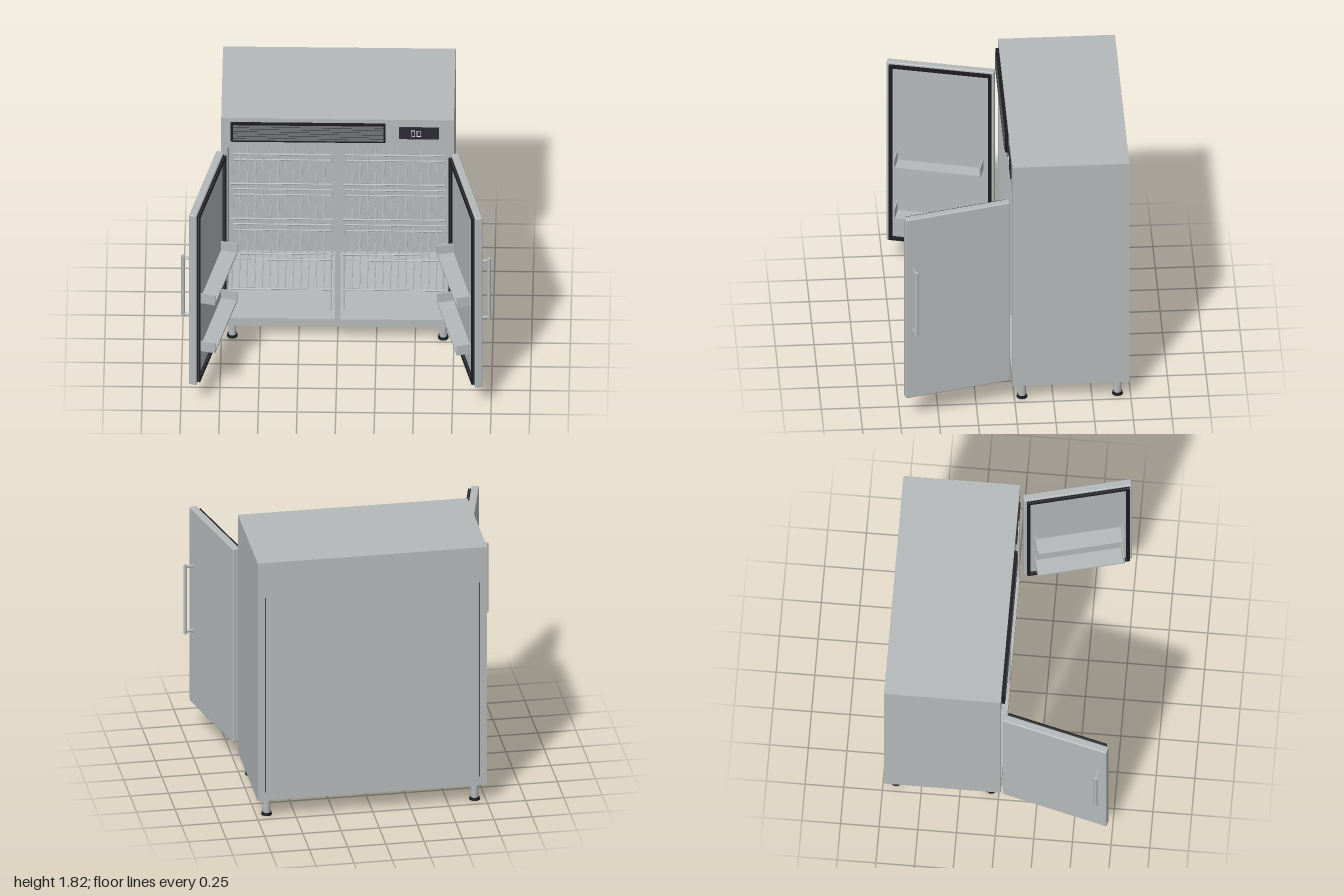
import * as THREE from 'three';
import { RoundedBoxGeometry } from 'three/addons/geometries/RoundedBoxGeometry.js';

const mat = (name, color) => {
  const m = new THREE.MeshStandardMaterial({ color });
  m.name = name;
  return m;
};

export function createModel() {
  const steel = mat('brushed steel', 0xb5b9b9);
  const black = mat('black rubber', 0x1c1c1f);
  const charcoal = mat('charcoal', 0x2b2b33);
  const slat = mat('slat grey', 0x45474b);
  const white = mat('indicator white', 0xe8ecec);

  const model = new THREE.Group();
  model.name = 'twoDoorRefrigerator';

  const group = (name, parent = model) => {
    const g = new THREE.Group();
    g.name = name;
    parent.add(g);
    return g;
  };
  const add = (parent, name, geometry, material, x, y, z) => {
    const m = new THREE.Mesh(geometry, material);
    m.name = name;
    m.position.set(x, y, z);
    parent.add(m);
    return m;
  };
  // Box given by its limits on each axis
  const box = (parent, name, material, x0, x1, y0, y1, z0, z1) =>
    add(parent, name, new THREE.BoxGeometry(Math.abs(x1 - x0), y1 - y0, z1 - z0), material,
      (x0 + x1) / 2, (y0 + y1) / 2, (z0 + z1) / 2);
  // Round rod along one axis
  const rod = (parent, name, r, length, axis, x, y, z, sides = 8) => {
    const m = add(parent, name, new THREE.CylinderGeometry(r, r, length, sides), steel, x, y, z);
    if (axis === 'x') m.rotation.z = Math.PI / 2;
    if (axis === 'z') m.rotation.x = Math.PI / 2;
    return m;
  };
  const rect = (P, x0, x1, y0, y1) => {
    const p = new P();
    p.moveTo(x0, y0);
    p.lineTo(x1, y0);
    p.lineTo(x1, y1);
    p.lineTo(x0, y1);
    p.closePath();
    return p;
  };
  // Rectangular frame extruded along z
  const frame = (w, h, border, depth) => {
    const s = rect(THREE.Shape, -w / 2, w / 2, -h / 2, h / 2);
    s.holes.push(rect(THREE.Path, -w / 2 + border, w / 2 - border, -h / 2 + border, h / 2 - border));
    return new THREE.ExtrudeGeometry(s, { depth, bevelEnabled: false });
  };

  // Cabinet: hollow shell, back wall and centre post
  const cabinet = group('cabinet');
  const outline = rect(THREE.Shape, -0.75, 0.75, 0.13, 1.82);
  outline.holes.push(rect(THREE.Path, -0.71, 0.71, 0.19, 1.58));
  add(cabinet, 'shell', new THREE.ExtrudeGeometry(outline, { depth: 0.715, bevelEnabled: false }), steel, 0, 0, -0.7);
  box(cabinet, 'backWall', steel, -0.75, 0.75, 0.13, 1.82, -0.74, -0.7);
  box(cabinet, 'centrePost', steel, -0.018, 0.018, 0.19, 1.58, -0.03, 0.014);
  for (const s of [-1, 1])
    box(cabinet, 'backSeam', slat, s * 0.7 - 0.004, s * 0.7 + 0.004, 0.19, 1.57, -0.742, -0.739);

  // Feet
  for (const x of [-0.68, 0.68]) for (const z of [-0.05, -0.667]) {
    const leg = group('leg');
    rod(leg, 'legTube', 0.025, 0.125, 'y', x, 0.072, z, 24);
    add(leg, 'legPad', new THREE.CylinderGeometry(0.031, 0.035, 0.018, 24), black, x, 0.009, z);
  }

  // Ventilation grille with tilted slats
  const grille = group('grille');
  box(grille, 'grilleBack', black, -0.69, 0.31, 1.645, 1.79, 0.014, 0.02);
  add(grille, 'grilleFrame', frame(1, 0.145, 0.01, 0.02), black, -0.19, 1.7175, 0.016);
  for (let i = 0; i < 7; i++) {
    const m = box(grille, 'grilleSlat', slat, -0.675, 0.295, -0.003, 0.003, -0.011, 0.011);
    m.position.set(-0.19, 1.664 + i * 0.018, 0.03);
    m.rotation.x = 0.6;
  }

  // Control display with two plain lit indicators
  const display = group('display');
  box(display, 'displayPanel', charcoal, 0.395, 0.655, 1.67, 1.762, 0.014, 0.024);
  for (const x of [0.486, 0.524])
    add(display, 'indicator', frame(0.028, 0.048, 0.004, 0.002), white, x, 1.716, 0.0235);

  // Interior fittings of each half
  for (const s of [-1, 1]) {
    const bay = group(s < 0 ? 'rightBay' : 'leftBay');
    for (const x of [0.042, 0.68]) for (const z of [-0.05, -0.62])
      box(bay, 'shelfPost', steel, s * x - 0.005, s * x + 0.005, 0.22, 1.54, z - 0.005, z + 0.005);
    for (const y of [0.39, 0.677, 0.962, 1.247]) {
      const shelf = group('wireShelf', bay);
      for (const z of [-0.04, -0.35, -0.66]) rod(shelf, 'crossWire', 0.006, 0.655, 'x', s * 0.363, y, z);
      for (let i = 0; i < 14; i++)
        rod(shelf, 'shelfWire', 0.004, 0.62, 'z', s * (0.042 + i * 0.0494), y, -0.35, 6);
    }
    // Ceiling lamp
    box(bay, 'ceilingLamp', steel, s * 0.36 - 0.17, s * 0.36 + 0.17, 1.568, 1.581, -0.3, -0.2);
    // Round fan cover with slits
    const fan = group('fan', bay);
    const cover = add(fan, 'fanCover', new THREE.CylinderGeometry(0.097, 0.097, 0.02, 40), steel, s * 0.36, 1.43, -0.69);
    cover.rotation.x = Math.PI / 2;
    for (let i = 0; i < 9; i++) {
      const dy = (i - 4) * 0.0175, half = Math.sqrt(0.083 ** 2 - dy ** 2);
      box(fan, 'fanSlit', black, s * 0.36 - half, s * 0.36 + half, 1.425 + dy, 1.435 + dy, -0.681, -0.678);
    }
  }

  // Open doors: local z runs from the hinge, s * x points to the inner side
  for (const s of [1, -1]) {
    const door = group(s > 0 ? 'rightDoor' : 'leftDoor');
    door.position.set(-s * 0.78, 0, 0.03);
    door.rotation.y = -s * 0.24;
    add(door, 'doorPanel', new RoundedBoxGeometry(0.05, 1.38, 0.706, 3, 0.009), steel, s * 0.025, 0.88, 0.353);

    // Rubber seal in two layers with a steel strip between
    const seal = (name, material, w, h, border, depth, n) => {
      const m = add(door, name, frame(w, h, border, depth), material, s * n, 0.88, 0.353);
      m.rotation.y = s * Math.PI / 2;
    };
    seal('sealBase', black, 0.67, 1.35, 0.022, 0.008, 0.049);
    seal('sealStrip', slat, 0.66, 1.34, 0.014, 0.005, 0.057);
    seal('sealLip', black, 0.668, 1.348, 0.018, 0.008, 0.062);

    // Door racks: floor, end plates and a low lip
    for (const y of [0.815, 0.425]) {
      const rack = group('doorRack', door);
      box(rack, 'rackFloor', steel, s * 0.05, s * 0.158, y, y + 0.008, 0.07, 0.64);
      box(rack, 'rackLip', steel, s * 0.152, s * 0.158, y, y + 0.016, 0.07, 0.64);
      for (const z of [0.07, 0.632])
        box(rack, 'rackEnd', steel, s * 0.05, s * 0.158, y, y + 0.078, z, z + 0.008);
    }

    // Bar handle on two standoffs
    const handle = group('handle', door);
    rod(handle, 'handleBar', 0.012, 0.49, 'y', -s * 0.053, 0.945, 0.65, 20);
    for (const y of [0.715, 1.175]) {
      rod(handle, 'handleStandoff', 0.009, 0.055, 'x', -s * 0.026, y, 0.65, 16);
      rod(handle, 'handleCollar', 0.016, 0.008, 'x', -s * 0.003, y, 0.65, 16);
    }
  }

  return model;
}
